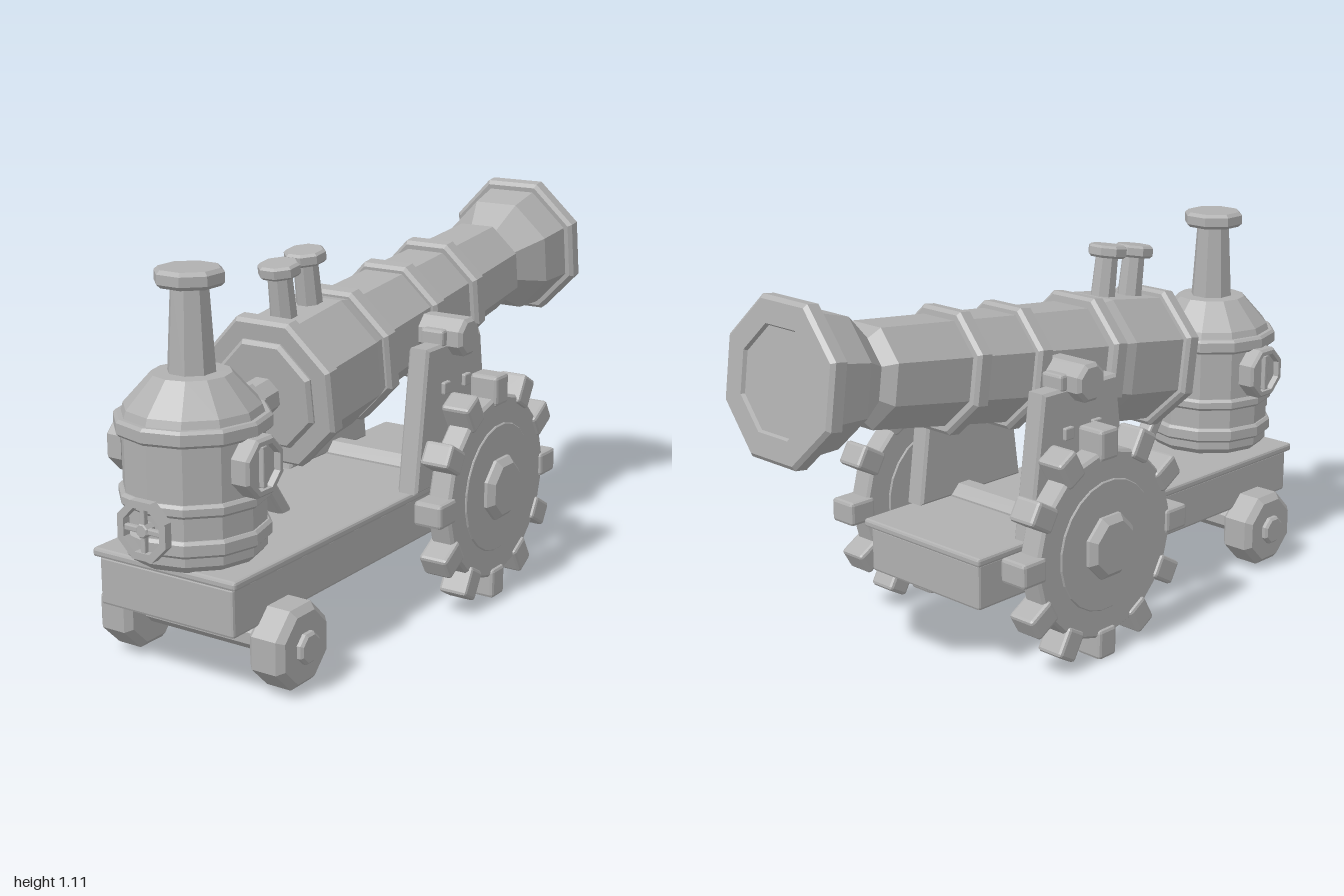
import * as THREE from 'three';
import { RoundedBoxGeometry } from 'three/addons/geometries/RoundedBoxGeometry.js';

const metal = new THREE.MeshStandardMaterial({ color: 0xb0b0b0 });
metal.name = 'grey metal';

// Faceted look: every face gets its own normal
function faceted(geo) {
  const g = geo.index ? geo.toNonIndexed() : geo;
  g.computeVertexNormals();
  return g;
}

function add(parent, name, geo, x = 0, y = 0, z = 0) {
  const m = new THREE.Mesh(faceted(geo), metal);
  m.name = name;
  m.position.set(x, y, z);
  parent.add(m);
  return m;
}

// Solid of n sides from [apothem, height] points, flats turned to the front
function prism(points, n = 8, flats = true) {
  const k = flats ? 1 / Math.cos(Math.PI / n) : 1;
  const pts = points.map(([r, y]) => new THREE.Vector2(r * k, y));
  return new THREE.LatheGeometry(pts, n, flats ? Math.PI / n : 0);
}

// Chamfered drum from y0 to y1
function drum(r, y0, y1, n = 8, c = 0.01, flats = true) {
  return prism([[0, y0], [r - c, y0], [r, y0 + c], [r, y1 - c], [r - c, y1], [0, y1]], n, flats);
}

const block = (w, h, d, c = 0.008) => new RoundedBoxGeometry(w, h, d, 1, c);
const alongX = (g) => g.rotateZ(-Math.PI / 2);
const alongZ = (g) => g.rotateX(Math.PI / 2);

function group(parent, name, x, y, z) {
  const g = new THREE.Group();
  g.name = name;
  g.position.set(x, y, z);
  parent.add(g);
  return g;
}

function buildCannon(root) {
  // Local y runs towards the muzzle, local z is up
  const g = group(root, 'cannon', 0, 0.787, -0.118);
  g.rotation.x = -THREE.MathUtils.degToRad(82);
  add(g, 'barrel', prism([
    [0, -0.24], [0.163, -0.24], [0.136, 0.575], [0.105, 0.61], [0.105, 0.625], [0, 0.625],
  ]));
  add(g, 'muzzleBell', prism([
    [0, 0.61], [0.11, 0.61], [0.172, 0.7], [0.188, 0.82], [0, 0.82],
  ]));
  add(g, 'muzzleRim', prism([
    [0, 0.805], [0.2, 0.805], [0.211, 0.815], [0.211, 0.85], [0.2, 0.86],
    [0.14, 0.86], [0.135, 0.85], [0, 0.85],
  ]));
  add(g, 'breech', prism([
    [0, -0.56], [0.186, -0.56], [0.186, -0.31], [0.17, -0.25], [0, -0.25],
  ]));
  // Raised bands: apothem, start, end
  for (const [r, a, b] of [[0.207, -0.58, -0.525], [0.192, -0.27, -0.213], [0.173, 0.025, 0.083], [0.17, 0.26, 0.316]]) {
    add(g, 'barrelBand', drum(r, a, b));
  }
  add(g, 'breechPlate', drum(0.15, -0.595, -0.56));
  add(g, 'breechKnob', prism([
    [0, -0.725], [0.055, -0.725], [0.068, -0.71], [0.068, -0.675], [0.05, -0.66], [0.05, -0.59], [0, -0.59],
  ]));
  // Two vent pipes standing on the breech
  for (const s of [-0.474, -0.352]) {
    add(g, 'ventPipe', alongZ(prism([[0, 0.15], [0.036, 0.15], [0.032, 0.31], [0, 0.31]])), 0, s);
    add(g, 'ventCap', alongZ(drum(0.055, 0.302, 0.338, 8, 0.007)), 0, s);
  }
  add(root, 'trunnion', alongX(drum(0.054, -0.3, 0.3)), 0, 0.787, -0.118);
}

function buildBoiler(root) {
  const g = group(root, 'boiler', 0, 0, 0.777);
  add(g, 'boilerBody', prism([
    [0, 0.355], [0.17, 0.355], [0.188, 0.375], [0.188, 0.72], [0, 0.72],
  ], 12, false));
  for (const [r, a, b] of [[0.201, 0.4, 0.445], [0.2, 0.505, 0.54], [0.207, 0.69, 0.735]]) {
    add(g, 'boilerBand', drum(r, a, b, 12, 0.008, false));
  }
  add(g, 'boilerDome', prism([
    [0, 0.72], [0.19, 0.725], [0.18, 0.755], [0.105, 0.838], [0, 0.842],
  ], 12, false));
  add(g, 'chimney', prism([[0, 0.82], [0.061, 0.82], [0.047, 1.07], [0, 1.07]]));
  add(g, 'chimneyCap', drum(0.086, 1.062, 1.108));

  // Round windows on both sides
  for (const side of [1, -1]) {
    const w = group(g, 'porthole', side * 0.18, 0.622, 0);
    w.rotation.y = side > 0 ? 0 : Math.PI;
    add(w, 'portholeRim', alongX(prism([
      [0, 0], [0.077, 0], [0.077, 0.045], [0.07, 0.053], [0.058, 0.053], [0.056, 0.035], [0, 0.035],
    ])));
    add(w, 'portholeBar', block(0.016, 0.11, 0.018, 0.003), 0.042);
  }

  // Valve wheel on the front
  const v = group(g, 'valveWheel', 0, 0.47, 0.205);
  add(v, 'valveRim', alongZ(prism([
    [0.058, -0.012], [0.078, -0.012], [0.078, 0.012], [0.058, 0.012], [0.058, -0.012],
  ])));
  add(v, 'valveSpoke', block(0.13, 0.016, 0.016, 0.003));
  add(v, 'valveSpoke', block(0.016, 0.13, 0.016, 0.003));
  add(v, 'valveStem', alongZ(drum(0.018, -0.04, 0.012, 8, 0.003)));

  // Slanted strut from boiler to deck
  const strut = add(root, 'strut', block(0.05, 0.34, 0.042), 0, 0.485, 0.5);
  strut.rotation.x = 0.62;
}

function buildCarriage(root) {
  add(root, 'deckBeam', block(0.44, 0.136, 1.395), 0, 0.266, 0.212);
  add(root, 'deckPlate', block(0.47, 0.026, 1.42), 0, 0.345, 0.21);
  add(root, 'frontAxle', alongX(drum(0.039, -0.22, 0.22)), 0, 0.133, 0.72);
  add(root, 'rearAxle', alongX(drum(0.05, -0.32, 0.32)), 0, 0.343, -0.147);

  const side = new THREE.Shape([[0.085, 0.365], [0.03, 0.765], [-0.255, 0.765], [-0.31, 0.365]]
    .map(([z, y]) => new THREE.Vector2(z, y)));
  for (const s of [1, -1]) {
    // Cheek carrying the trunnion
    const cheek = new THREE.ExtrudeGeometry(side, {
      depth: 0.05, bevelEnabled: true, bevelSize: 0.008, bevelThickness: 0.008, bevelSegments: 1,
    });
    add(root, 'cheek', cheek.rotateY(-Math.PI / 2), s * 0.22 + 0.025, 0, 0);
    add(root, 'trunnionCap', block(0.075, 0.05, 0.155), s * 0.215, 0.788, -0.118);
    for (const [z, y] of [[-0.055, 0.645], [-0.17, 0.645], [0.03, 0.455], [-0.26, 0.455]]) {
      add(root, 'bolt', block(0.03, 0.036, 0.036, 0.004), s * 0.25, y, z);
    }

    // Toothed rear wheel
    const w = group(root, 'rearWheel', s * 0.348, 0.343, -0.147);
    w.rotation.y = s > 0 ? 0 : Math.PI;
    add(w, 'wheelDisc', alongX(drum(0.272, -0.038, 0.036, 24, 0.008)));
    add(w, 'wheelFace', alongX(drum(0.19, -0.043, 0.041, 24, 0.003)));
    add(w, 'wheelHub', alongX(drum(0.09, -0.068, 0.069, 8, 0.018)));
    for (let i = 0; i < 12; i++) {
      const a = (i / 12) * Math.PI * 2;
      const t = add(w, 'wheelTooth', block(0.09, 0.09, 0.072, 0.01), 0, Math.cos(a) * 0.294, Math.sin(a) * 0.294);
      t.rotation.x = a;
    }

    // Small front wheel
    const f = group(root, 'frontWheel', s * 0.253, 0.133, 0.72);
    f.rotation.y = s > 0 ? 0 : Math.PI;
    add(f, 'smallWheel', alongX(drum(0.11, -0.056, 0.056, 8, 0.018)));
    add(f, 'smallHub', alongX(drum(0.042, 0.03, 0.074, 8, 0.007)));
  }
}

export function createModel() {
  const root = new THREE.Group();
  root.name = 'steamCannon';
  buildCarriage(root);
  buildBoiler(root);
  buildCannon(root);
  return root;
}
